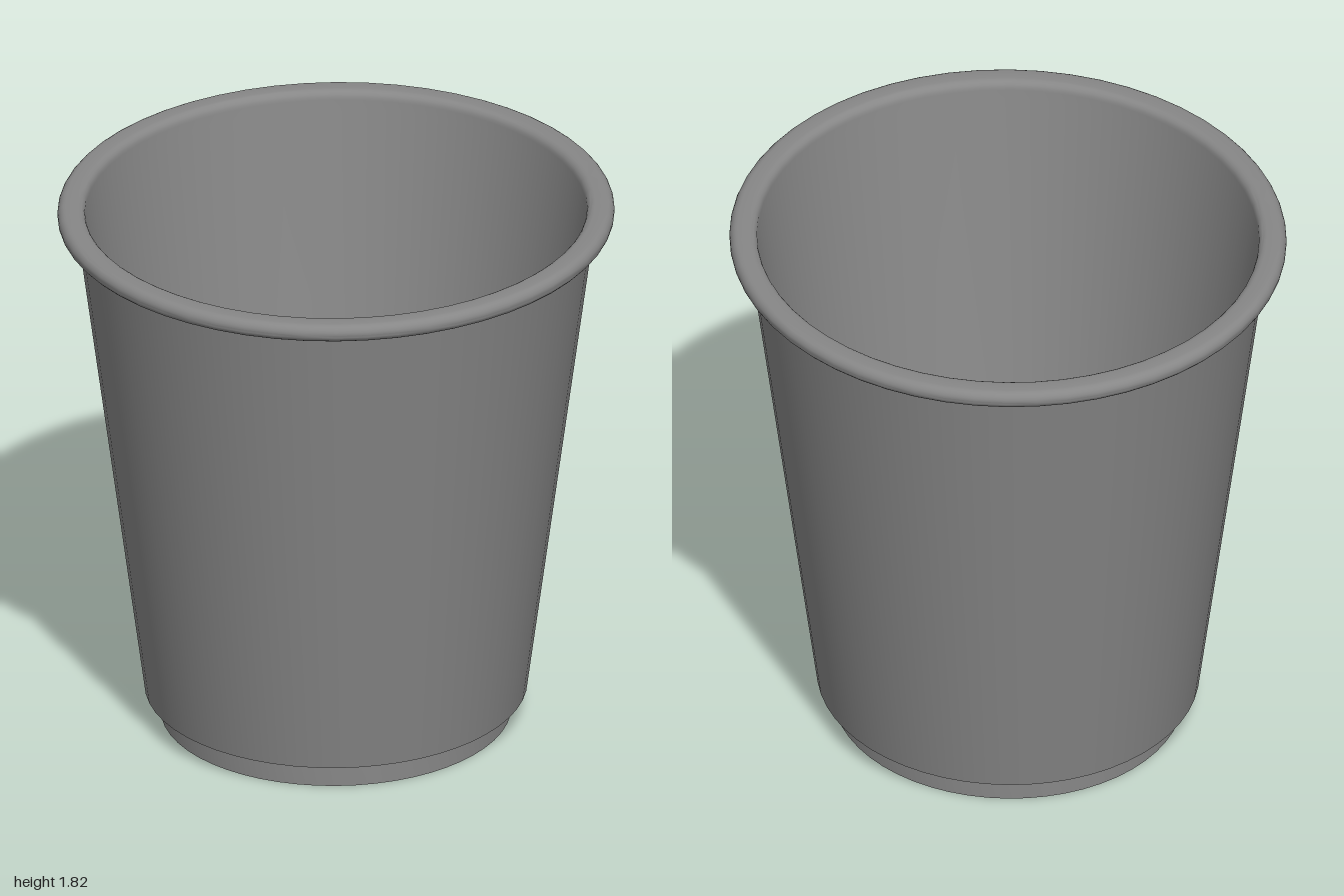
import * as THREE from 'three';
import { toCreasedNormals } from 'three/addons/utils/BufferGeometryUtils.js';

const SEGMENTS = 56;
const OVAL = 0.917; // width of the oval cup relative to its depth

export function createModel() {
  const cup = new THREE.Group();
  cup.name = 'cup';
  const material = new THREE.MeshStandardMaterial({ color: 0x878787, side: THREE.DoubleSide });

  // Turns a [radius, height] profile around the vertical axis into an oval part
  function turned(name, profile) {
    const points = profile.map(([r, y]) => new THREE.Vector2(r, y));
    const geometry = new THREE.LatheGeometry(points, SEGMENTS).scale(OVAL, 1, 1);
    const mesh = new THREE.Mesh(toCreasedNormals(geometry, 0.6), material);
    mesh.name = name;
    cup.add(mesh);
  }

  // Points of a circular arc in the profile plane
  function arc(r, y, radius, from, to, steps) {
    return Array.from({ length: steps + 1 }, (_, i) => {
      const a = from + ((to - from) * i) / steps;
      return [r + radius * Math.cos(a), y + radius * Math.sin(a)];
    });
  }

  // Recessed base and foot ring
  turned('foot', [[0, 0.09], [0.56, 0.09], [0.56, 0], [0.63, 0], [0.63, 0.09]]);

  // Tapered outside with the ledge above the foot
  turned('outerWall', [[0.63, 0.09], [0.687, 0.09], [0.932, 1.76]]);

  // Rolled lip flowing into the inside wall, which is rounded into the floor
  turned('rimAndInnerWall', [
    [0.932, 1.76],
    ...arc(0.97, 1.79, 0.03, -Math.PI / 2, Math.PI / 2, 10),
    ...arc(0.93, 1.79, 0.03, Math.PI / 2, Math.PI, 5),
    [0.895, 1.76],
    [0.62, 0.17],
    ...arc(0.59, 0.145, 0.025, 0, -Math.PI / 2, 4),
  ]);

  // Flat floor
  turned('floor', [[0.59, 0.12], [0, 0.12]]);

  return cup;
}
